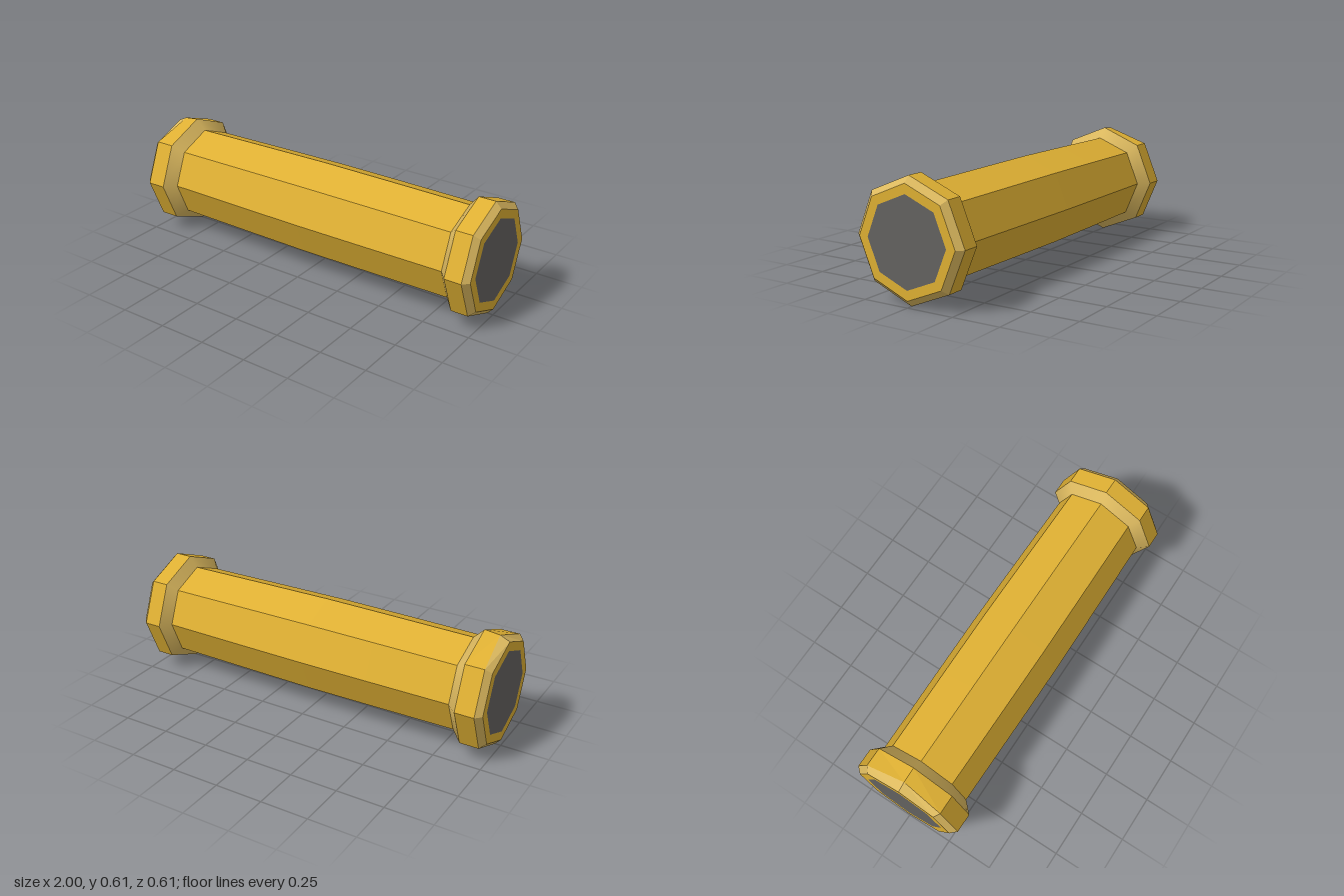
import * as THREE from 'three';

const CENTER_Y = 0.303;

export function createModel() {
  const material = (name, color) => {
    const m = new THREE.MeshStandardMaterial({ color });
    m.name = name;
    return m;
  };
  const gold = material('gold', 0xdfb033);
  const paleGold = material('pale gold', 0xdcb95f);
  const grey = material('dark grey', 0x646260);

  const group = new THREE.Group();
  group.name = 'octagonalTube';

  // Eight-sided band along x from [x, radius] pairs, ordered towards +x
  function band(name, profile, mat, smooth = false) {
    const points = profile.map(([x, r]) => new THREE.Vector2(r, x));
    let geometry = new THREE.LatheGeometry(points, 8);
    geometry.rotateZ(-Math.PI / 2);

    // Slight dent in the top outer corner of the -x collar
    const p = geometry.attributes.position;
    for (let i = 0; i < p.count; i++) {
      if (Math.abs(p.getX(i) + 0.97) < 0.001 && p.getY(i) > 0.3) {
        p.setXYZ(i, -0.95, 0.294, p.getZ(i));
      }
    }
    if (!smooth) {
      geometry = geometry.toNonIndexed();
      geometry.computeVertexNormals();
    }
    const mesh = new THREE.Mesh(geometry, mat);
    mesh.name = name;
    mesh.position.y = CENTER_Y;
    group.add(mesh);
  }

  // Shaft, swelling gently in the middle
  band('shaft', [[-0.83, 0.248], [-0.37, 0.253], [0, 0.256], [0.37, 0.253], [0.85, 0.248]], gold);

  // Collars: recessed-looking end plate, rim, bevel, flat band and slope to the shaft
  const collars = [
    { label: 'right', side: -1, inner: 0.87, foot: 0.815 },
    { label: 'left', side: 1, inner: 0.88, foot: 0.835 },
  ];
  for (const { label, side, inner, foot } of collars) {
    const add = (part, profile, mat, smooth) => {
      const placed = profile.map(([x, r]) => [x * side, r]);
      band(label + part, side > 0 ? placed : placed.reverse(), mat, smooth);
    };
    add('Slope', [[foot, 0.247], [inner, 0.303]], paleGold, true);
    add('Collar', [[inner, 0.303], [0.97, 0.303]], gold);
    add('Bevel', [[0.97, 0.303], [1, 0.271]], paleGold);
    add('Rim', [[1, 0.271], [1, 0.222]], gold);
    add('EndPlate', [[1, 0.222], [1, 0]], grey);
  }
  return group;
}
